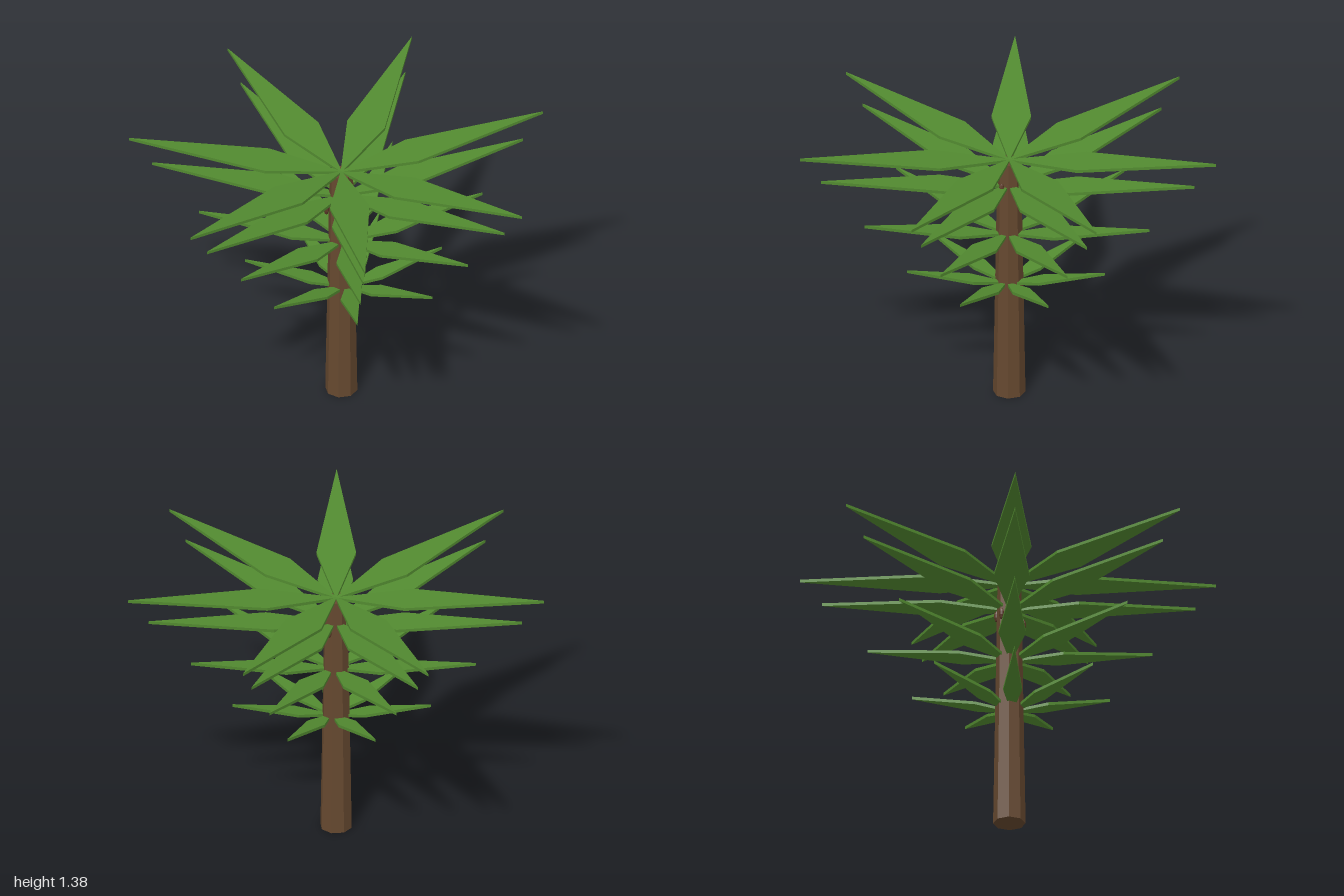
import * as THREE from 'three';

export function createModel() {
  const model = new THREE.Group();
  model.name = 'palmTree';

  const bark = new THREE.MeshStandardMaterial({ color: 0x65482f, flatShading: true });
  bark.name = 'barkBrown';
  const green = new THREE.MeshStandardMaterial({ color: 0x528a30, flatShading: true });
  green.name = 'leafGreen';
  const nutBrown = new THREE.MeshStandardMaterial({ color: 0x5c3a28, flatShading: true });
  nutBrown.name = 'nutBrown';

  const axisX = -0.052;

  // Tapered eight-sided trunk, flat sides facing the axes
  const trunkGeometry = new THREE.CylinderGeometry(0.057, 0.078, 1.26, 8);
  trunkGeometry.rotateY(Math.PI / 8);
  const trunk = new THREE.Mesh(trunkGeometry, bark);
  trunk.name = 'trunk';
  trunk.position.set(axisX, 0.63, 0);
  model.add(trunk);

  // Unit leaf: a kite-shaped slab, sheared so that it rises towards its tip
  const thickness = 0.015;
  const rise = 0.115;
  const kite = new THREE.Shape([
    new THREE.Vector2(0, -0.003),
    new THREE.Vector2(0.35, -0.093),
    new THREE.Vector2(1, 0),
    new THREE.Vector2(0.35, 0.093),
    new THREE.Vector2(0, 0.003),
  ]);
  const leafGeometry = new THREE.ExtrudeGeometry(kite, { depth: thickness, bevelEnabled: false });
  leafGeometry.rotateX(-Math.PI / 2);
  const p = leafGeometry.attributes.position;
  for (let i = 0; i < p.count; i++) p.setY(i, p.getY(i) + rise * p.getX(i));
  leafGeometry.computeVertexNormals();

  // Four tiers of seven leaves: [base height, radius]
  const tiers = [[0.595, 0.487], [0.857, 0.70], [1.118, 0.917], [1.25, 1.022]];
  tiers.forEach(([y, radius], t) => {
    const tier = new THREE.Group();
    tier.name = `leafTier${t + 1}`;
    tier.position.set(-0.051 * radius, y, 0);
    tier.scale.set(radius, 1, radius);
    for (let k = 0; k < 7; k++) {
      const leaf = new THREE.Mesh(leafGeometry, green);
      leaf.name = 'leaf';
      leaf.rotation.y = (k / 7) * Math.PI * 2;
      tier.add(leaf);
    }
    model.add(tier);
  });

  // Small nuts hanging around the upper trunk
  const nutGeometry = new THREE.SphereGeometry(1, 7, 5);
  const nuts = [
    [-0.123, 1.08, -0.01], [-0.1, 1.06, 0.058], [-0.03, 1.045, 0.063],
    [0.018, 1.135, 0.005], [-0.06, 1.1, -0.063],
  ];
  for (const [x, y, z] of nuts) {
    const nut = new THREE.Mesh(nutGeometry, nutBrown);
    nut.name = 'nut';
    nut.position.set(x, y, z);
    nut.scale.set(0.013, 0.03, 0.013);
    model.add(nut);
  }

  return model;
}
